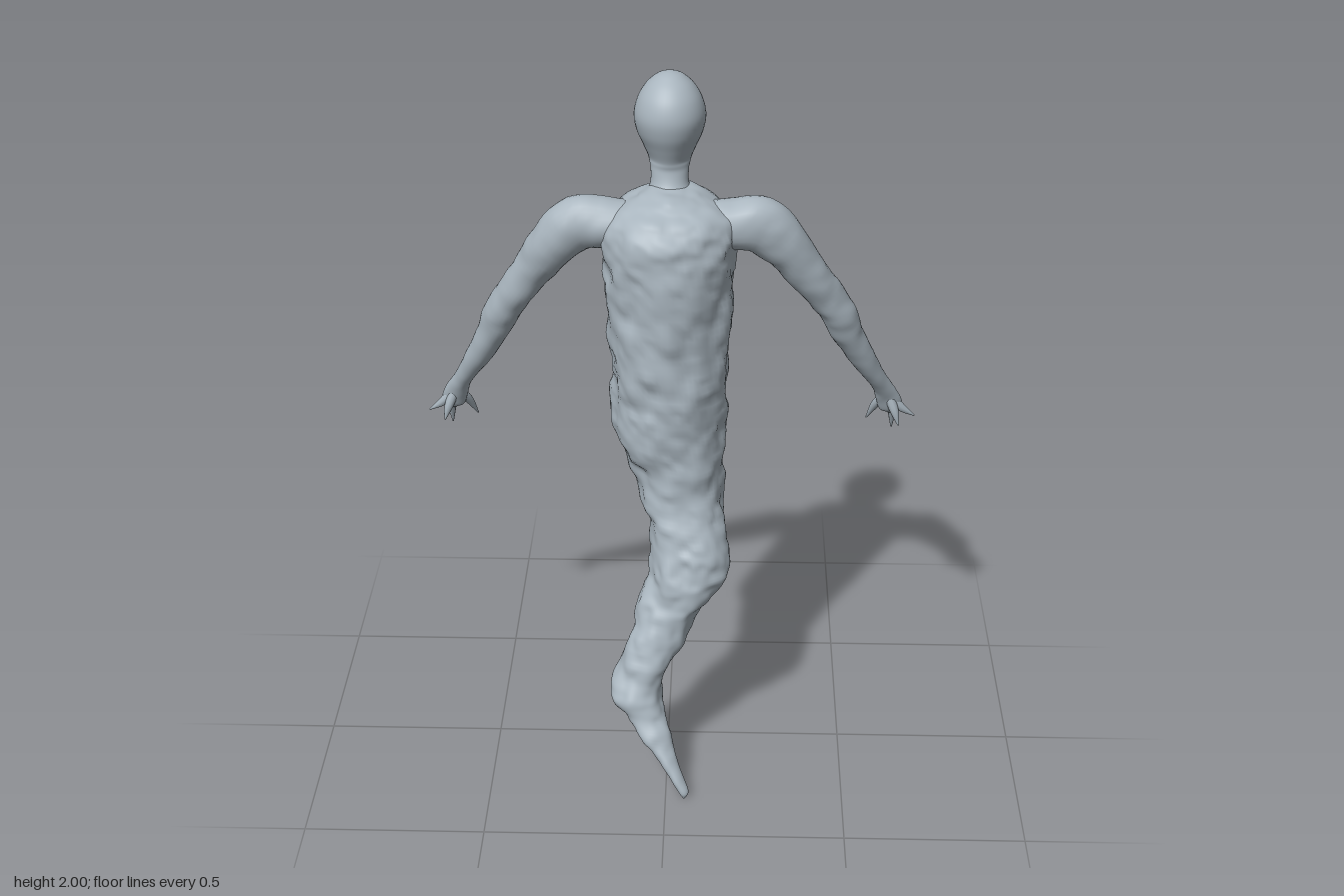
import * as THREE from 'three';

// Smooth seeded value noise in -1..1
function hash(x, y, z) {
  let h = (Math.imul(x, 374761393) + Math.imul(y, 668265263) + Math.imul(z, 1274126177)) | 0;
  h = Math.imul(h ^ (h >>> 13), 1274126177);
  return ((h ^ (h >>> 16)) >>> 0) / 2147483648 - 1;
}
function noise(p, freq) {
  const q = [p.x * freq, p.y * freq, p.z * freq];
  const i = q.map(Math.floor);
  const f = q.map((v, k) => { const t = v - i[k]; return t * t * (3 - 2 * t); });
  let sum = 0;
  for (let c = 0; c < 8; c++) {
    const b = [c & 1, (c >> 1) & 1, c >> 2];
    const w = b.reduce((a, on, k) => a * (on ? f[k] : 1 - f[k]), 1);
    sum += w * hash(i[0] + b[0], i[1] + b[1], i[2] + b[2]);
  }
  return sum;
}

// Skin over oval rings. Section: [x, y, z, radius along u, radius along v]
function loft(sections, { rings, sides, level = false, bump = 0, freq = 20 }) {
  const path = new THREE.CatmullRomCurve3(
    sections.map(s => new THREE.Vector3(s[0], s[1], s[2])), false, 'catmullrom', 0.5);
  const size = new THREE.CatmullRomCurve3(
    sections.map(s => new THREE.Vector3(s[3], s[4], 0)), false, 'catmullrom', 0.5);
  const positions = [], index = [];
  for (let i = 0; i <= rings; i++) {
    const c = path.getPoint(i / rings), r = size.getPoint(i / rings);
    const t = level ? new THREE.Vector3(0, 1, 0) : path.getTangent(i / rings);
    const v = level ? new THREE.Vector3(1, 0, 0) : new THREE.Vector3(0, 0, 1);
    v.addScaledVector(t, -v.dot(t)).normalize();
    const u = v.clone().cross(t);
    const ru = Math.max(r.x, 0.001), rv = Math.max(r.y, 0.001);
    for (let j = 0; j < sides; j++) {
      const a = j / sides * Math.PI * 2;
      const d = u.clone().multiplyScalar(Math.cos(a) * ru).addScaledVector(v, Math.sin(a) * rv);
      const p = c.clone().add(d);
      const fade = Math.min(1, Math.min(ru, rv) / 0.05);
      const n = (noise(p, freq) + 0.5 * noise(p, freq * 2.1)) * bump * fade;
      p.addScaledVector(d.normalize(), n);
      if (level) p.y += bump * fade * 0.5 * noise(p, freq * 1.3);
      positions.push(p.x, p.y, p.z);
    }
  }
  for (let i = 0; i < rings; i++) {
    for (let j = 0; j < sides; j++) {
      const k = (j + 1) % sides;
      const a = i * sides + j, b = i * sides + k, c = a + sides, d = b + sides;
      index.push(a, b, c, b, d, c);
    }
  }
  // End caps
  for (let j = 1; j < sides - 1; j++) {
    const e = rings * sides;
    index.push(0, j + 1, j, e, e + j, e + j + 1);
  }
  const g = new THREE.BufferGeometry();
  g.setAttribute('position', new THREE.Float32BufferAttribute(positions, 3));
  g.setIndex(index);
  g.computeVertexNormals();
  return g;
}

// Silhouette row [y, left, right, back, front] to a level section
const row = ([y, x0, x1, z0, z1]) =>
  [(x0 + x1) / 2, y, (z0 + z1) / 2, (z1 - z0) / 2, (x1 - x0) / 2];

export function createModel() {
  const model = new THREE.Group();
  const skin = new THREE.MeshStandardMaterial({ color: 0xa9b5be });
  skin.name = 'grey skin';
  const add = (parent, name, geometry) => {
    const m = new THREE.Mesh(geometry, skin);
    m.name = name;
    parent.add(m);
  };

  // Lumpy torso that tapers into one twisted tail
  const body = [
    [0.0, 0.05, 0.055, 0.322, 0.33],
    [0.02, 0.037, 0.063, 0.308, 0.335],
    [0.06, 0.01, 0.048, 0.28, 0.325],
    [0.13, -0.048, 0.022, 0.225, 0.295],
    [0.2, -0.11, 0.0, 0.16, 0.262],
    [0.25, -0.155, -0.015, 0.12, 0.242],
    [0.31, -0.152, -0.012, 0.105, 0.222],
    [0.4, -0.112, 0.045, 0.06, 0.2],
    [0.5, -0.09, 0.092, 0.005, 0.18],
    [0.56, -0.065, 0.145, -0.025, 0.168],
    [0.63, -0.048, 0.172, -0.055, 0.158],
    [0.7, -0.052, 0.165, -0.085, 0.13],
    [0.8, -0.08, 0.152, -0.125, 0.1],
    [0.9, -0.11, 0.152, -0.17, 0.092],
    [1.0, -0.156, 0.156, -0.21, 0.1],
    [1.1, -0.16, 0.162, -0.22, 0.106],
    [1.25, -0.165, 0.165, -0.225, 0.11],
    [1.4, -0.172, 0.172, -0.235, 0.112],
    [1.52, -0.182, 0.18, -0.24, 0.118],
    [1.59, -0.182, 0.178, -0.222, 0.11],
    [1.635, -0.162, 0.16, -0.2, 0.08],
    [1.665, -0.12, 0.12, -0.178, 0.035],
    [1.69, -0.06, 0.06, -0.155, -0.03],
    [1.7, -0.03, 0.03, -0.13, -0.07],
  ].map(row);
  add(model, 'torsoAndTail', loft(body, { rings: 200, sides: 72, level: true, bump: 0.0095, freq: 19 }));

  // Smooth head with the jaw pushed back, on a thin neck
  const head = [
    [1.63, -0.1, 0.1, -0.19, 0.0],
    [1.67, -0.065, 0.065, -0.165, -0.03],
    [1.7, -0.052, 0.052, -0.152, -0.055],
    [1.735, -0.051, 0.051, -0.15, -0.066],
    [1.753, -0.055, 0.055, -0.185, -0.064],
    [1.768, -0.061, 0.061, -0.235, -0.06],
    [1.8, -0.075, 0.075, -0.254, -0.045],
    [1.84, -0.09, 0.09, -0.248, -0.027],
    [1.885, -0.096, 0.096, -0.236, -0.019],
    [1.93, -0.085, 0.085, -0.215, -0.03],
    [1.965, -0.064, 0.064, -0.192, -0.055],
    [1.988, -0.038, 0.038, -0.165, -0.085],
    [1.997, -0.018, 0.018, -0.143, -0.105],
    [2.0, -0.002, 0.002, -0.127, -0.123],
  ].map(row);
  add(model, 'headAndNeck', loft(head, { rings: 78, sides: 40, level: true }));

  // Arms swept down and back, with thin spread fingers
  const armPath = [
    [0.08, 1.59, -0.06, 0.06, 0.07],
    [0.17, 1.6, -0.058, 0.068, 0.068],
    [0.245, 1.597, -0.06, 0.076, 0.062],
    [0.305, 1.54, -0.073, 0.067, 0.06],
    [0.365, 1.455, -0.1, 0.057, 0.056],
    [0.42, 1.375, -0.125, 0.05, 0.053],
    [0.463, 1.305, -0.148, 0.049, 0.05],
    [0.498, 1.225, -0.175, 0.043, 0.046],
    [0.545, 1.135, -0.208, 0.035, 0.039],
    [0.592, 1.05, -0.245, 0.026, 0.029],
    [0.618, 0.995, -0.268, 0.033, 0.022],
    [0.632, 0.955, -0.282, 0.034, 0.018],
    [0.638, 0.935, -0.288, 0.016, 0.01],
  ];
  const fingers = {
    outerFinger: [[0.63, 0.985, -0.272], [0.663, 0.95, -0.276], [0.702, 0.922, -0.28]],
    middleFinger: [[0.628, 0.98, -0.275], [0.638, 0.93, -0.295], [0.64, 0.868, -0.314]],
    innerFinger: [[0.615, 0.985, -0.275], [0.59, 0.945, -0.305], [0.567, 0.888, -0.332]],
    thumb: [[0.625, 0.99, -0.266], [0.643, 0.945, -0.256], [0.655, 0.905, -0.248]],
  };
  for (const [side, s] of [['left', 1], ['right', -1]]) {
    const arm = new THREE.Group();
    arm.name = side + 'Arm';
    const mirror = p => [p[0] * s, ...p.slice(1)];
    add(arm, side + 'ArmAndPalm', loft(armPath.map(mirror), { rings: 90, sides: 28, bump: 0.004, freq: 17 }));
    const radii = [0.015, 0.0125, 0.002];
    for (const [name, pts] of Object.entries(fingers)) {
      const sections = pts.map((p, i) => [...mirror(p), radii[i], radii[i]]);
      add(arm, side + '_' + name, loft(sections, { rings: 12, sides: 10 }));
    }
    model.add(arm);
  }
  return model;
}
